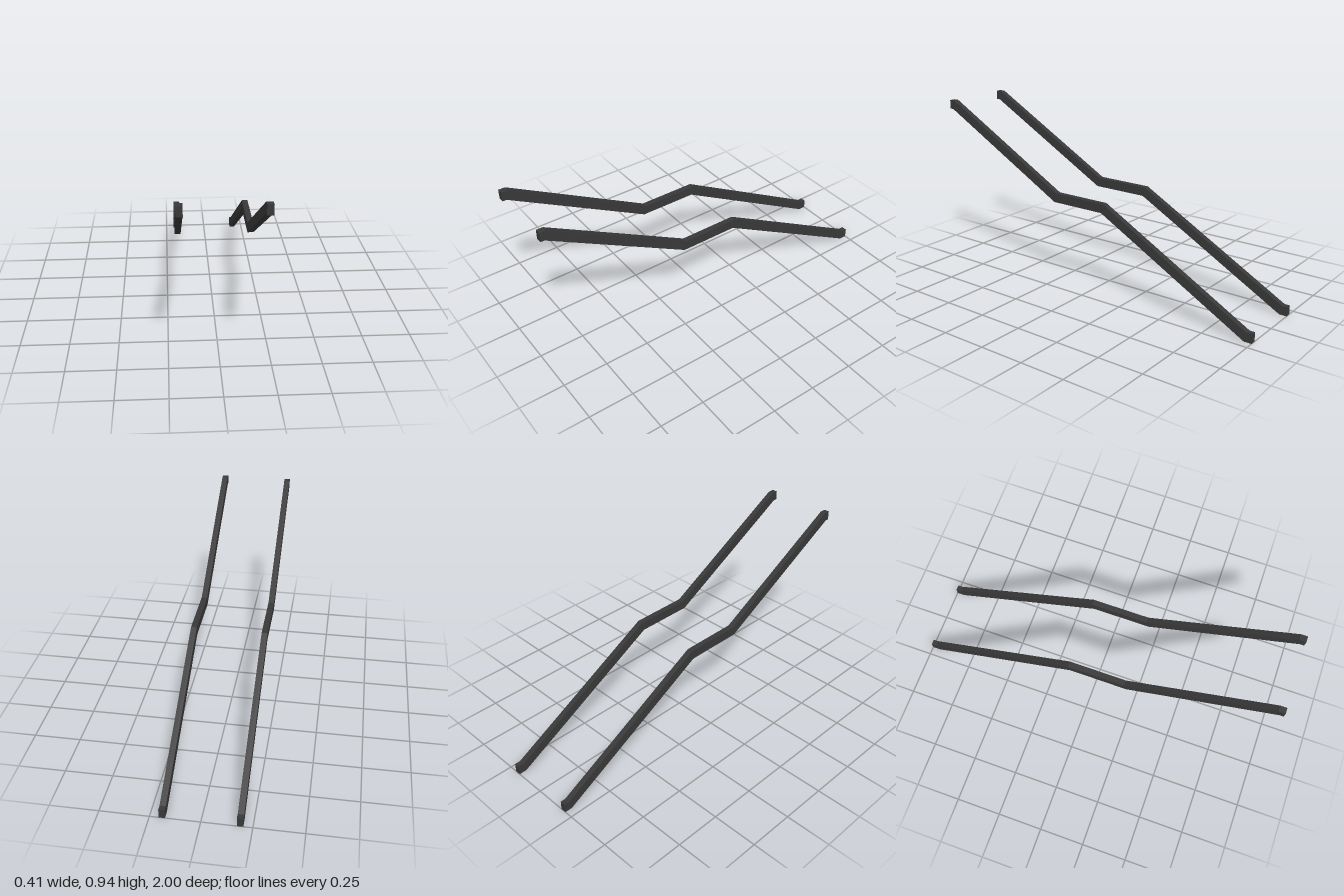
import * as THREE from 'three';

const material = new THREE.MeshStandardMaterial({ color: 0x383838, flatShading: true });

// Centre line of a handrail as [z, y], from the upper front to the lower back
const path = [[1, 0.92], [0.972, 0.92], [0.212, 0.5], [-0.105, 0.5], [-0.965, 0.025], [-1, 0.025]];
const HALF = 0.025; // half the bar height
const MITRE = 0.0065; // lean of each joint
const WIDTH = 0.031;

// Constant-thickness bar profile with mitred bends and square ends
function railGeometry(side) {
  const edge = (s) => path.map(([z, y], i) => {
    const lean = i === 0 || i === path.length - 1 ? 0 : -s * MITRE;
    return new THREE.Vector2(z + lean, y + s * HALF);
  });
  const shape = new THREE.Shape([...edge(1), ...edge(-1).reverse()]);
  const geometry = new THREE.ExtrudeGeometry(shape, { depth: WIDTH, bevelEnabled: false });
  geometry.translate(0, 0, -WIDTH / 2).rotateY(-Math.PI / 2);

  // The pair spreads very slightly toward the front
  const p = geometry.attributes.position;
  for (let i = 0; i < p.count; i++) p.setX(i, p.getX(i) + side * (0.19 + 0.001 * p.getZ(i)));
  geometry.computeVertexNormals();
  return geometry;
}

export function createModel() {
  const model = new THREE.Group();
  model.name = 'handrails';
  for (const [name, side] of [['leftRail', 1], ['rightRail', -1]]) {
    const rail = new THREE.Mesh(railGeometry(side), material);
    rail.name = name;
    model.add(rail);
  }
  return model;
}
